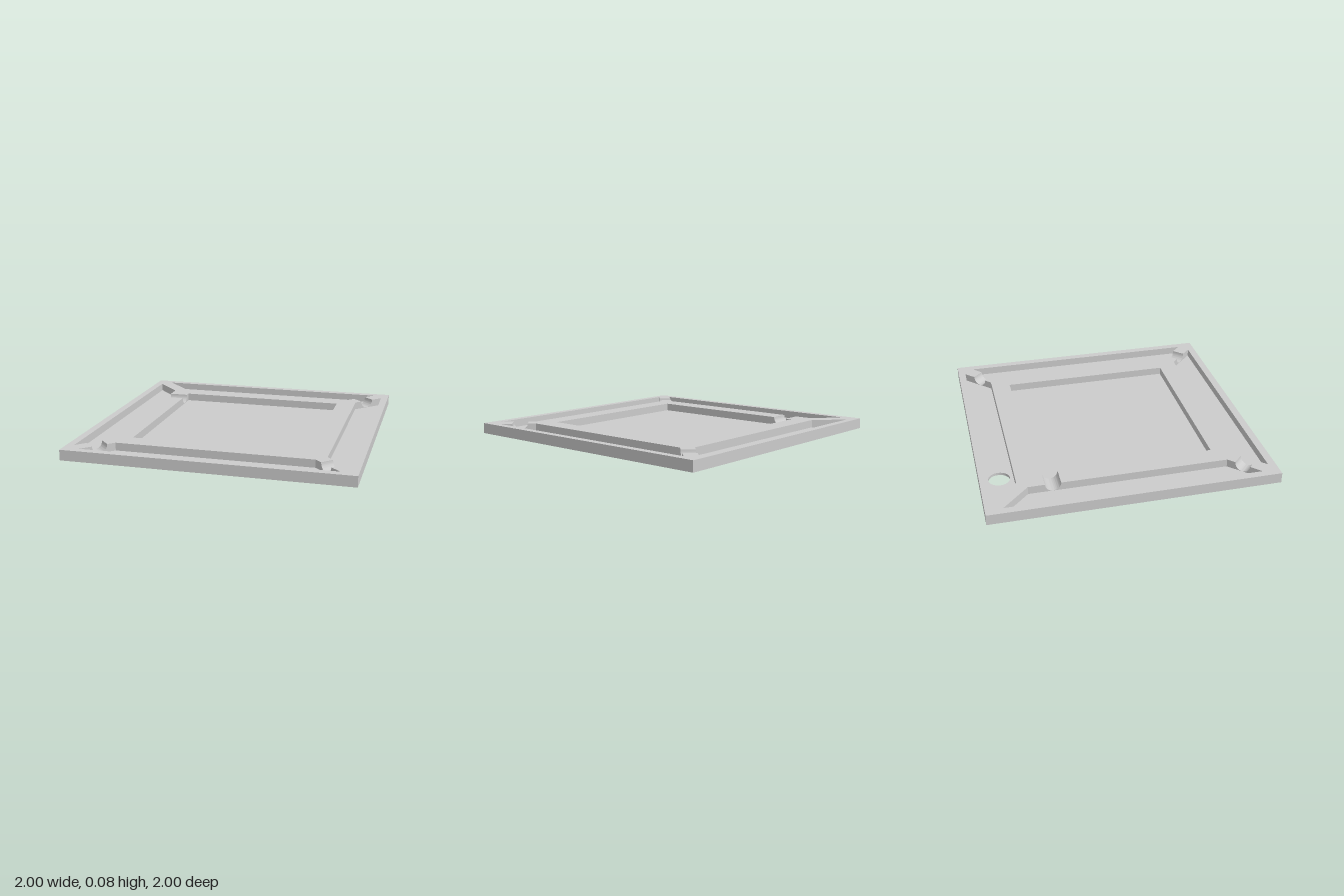
import * as THREE from 'three';
import { toCreasedNormals } from 'three/addons/utils/BufferGeometryUtils.js';

const HEIGHT = 0.075, FLOOR = 0.019, DEPTH = HEIGHT - FLOOR;
const R = 0.055;                    // wire channel radius
const OUT = 0.947, IN = 0.762;      // trough outer and inner edges
const OUT_END = 0.88, IN_END = 0.695; // trough ends, cut at 45 degrees
const POCKET = 0.622, WIRE_Z = -0.525;
const MID = 0.81, WEB = 0.0335;     // corner channel centre, half web offset

export function createModel() {
  const group = new THREE.Group();
  const material = new THREE.MeshStandardMaterial({ color: 0xcccccc });

  const add = (name, geometry) => {
    const mesh = new THREE.Mesh(toCreasedNormals(geometry, 0.5), material);
    mesh.name = name;
    group.add(mesh);
    return mesh;
  };
  // Shapes are drawn in plan as (x, -z) and raised along y
  const plan = (pts) => pts.map(([x, z]) => new THREE.Vector2(x, -z));
  const slab = (hole, y, height) => {
    const shape = new THREE.Shape(plan([[-1, 1], [1, 1], [1, -1], [-1, -1]]));
    shape.holes.push(hole);
    return new THREE.ExtrudeGeometry(shape, { depth: height, bevelEnabled: false, curveSegments: 24 })
      .rotateX(-Math.PI / 2).translate(0, y, 0);
  };

  // Floor plate with the round cable hole
  const cableHole = new THREE.Path().absarc(-0.55, 0.86, 0.074, 0, Math.PI * 2, true);
  add('floorPlate', slab(cableHole, 0, FLOOR));

  // Corner channel mouths: outer/inner edge on the z-side and x-side troughs
  const h = R / Math.SQRT2;
  const mouth = (sx, sz) => ({
    zOut: [sx * (MID - WEB + h), sz * (MID + WEB + h)],
    xOut: [sx * (MID + WEB + h), sz * (MID - WEB + h)],
    xIn: [sx * (MID + WEB - h), sz * (MID - WEB - h)],
    zIn: [sx * (MID - WEB - h), sz * (MID + WEB - h)],
  });
  const br = mouth(1, -1), fr = mouth(1, 1), fl = mouth(-1, 1);

  // One outline joins the four troughs, the channels and the central pocket
  const recess = new THREE.Path(plan([
    [-OUT_END, -OUT], [OUT_END, -OUT], br.zOut, br.xOut,
    [OUT, -OUT_END], [OUT, OUT_END], fr.xOut, fr.zOut,
    [OUT_END, OUT], [-OUT_END, OUT], fl.zOut, fl.xOut,
    [-OUT, OUT_END], [-OUT, -OUT_END], [-IN, -IN_END],
    [-IN, WIRE_Z - R], [-POCKET, WIRE_Z - R],
    [-POCKET, -POCKET], [POCKET, -POCKET], [POCKET, POCKET], [-POCKET, POCKET],
    [-POCKET, WIRE_Z + R], [-IN, WIRE_Z + R],
    [-IN, IN_END], fl.xIn, fl.zIn,
    [-IN_END, IN], [IN_END, IN], fr.zIn, fr.xIn,
    [IN, IN_END], [IN, -IN_END], br.xIn, br.zIn,
    [IN_END, -IN], [-IN_END, -IN],
  ]));
  add('upperFrame', slab(recess, FLOOR, DEPTH));

  // Half-round channel beds that fill the bottoms of the joining slots
  const bed = (name, x, z, length, angle) => {
    const shape = new THREE.Shape();
    shape.moveTo(-R, 0);
    shape.lineTo(R, 0);
    shape.lineTo(R, DEPTH);
    shape.absarc(0, DEPTH, R, 0, -Math.PI, true);
    shape.lineTo(-R, 0);
    const geometry = new THREE.ExtrudeGeometry(shape, { depth: length, bevelEnabled: false, curveSegments: 24 })
      .translate(0, 0, -length / 2);
    const mesh = add(name, geometry);
    mesh.position.set(x, FLOOR, z);
    mesh.rotation.y = angle;
  };
  const webWidth = 2 * WEB * Math.SQRT2;
  bed('backLeftChannel', MID, -MID, webWidth, Math.PI / 4);
  bed('frontLeftChannel', MID, MID, webWidth, -Math.PI / 4);
  bed('frontRightChannel', -MID, MID, webWidth, Math.PI / 4);
  bed('pocketChannel', -(IN + POCKET) / 2, WIRE_Z, IN - POCKET, Math.PI / 2);

  return group;
}
